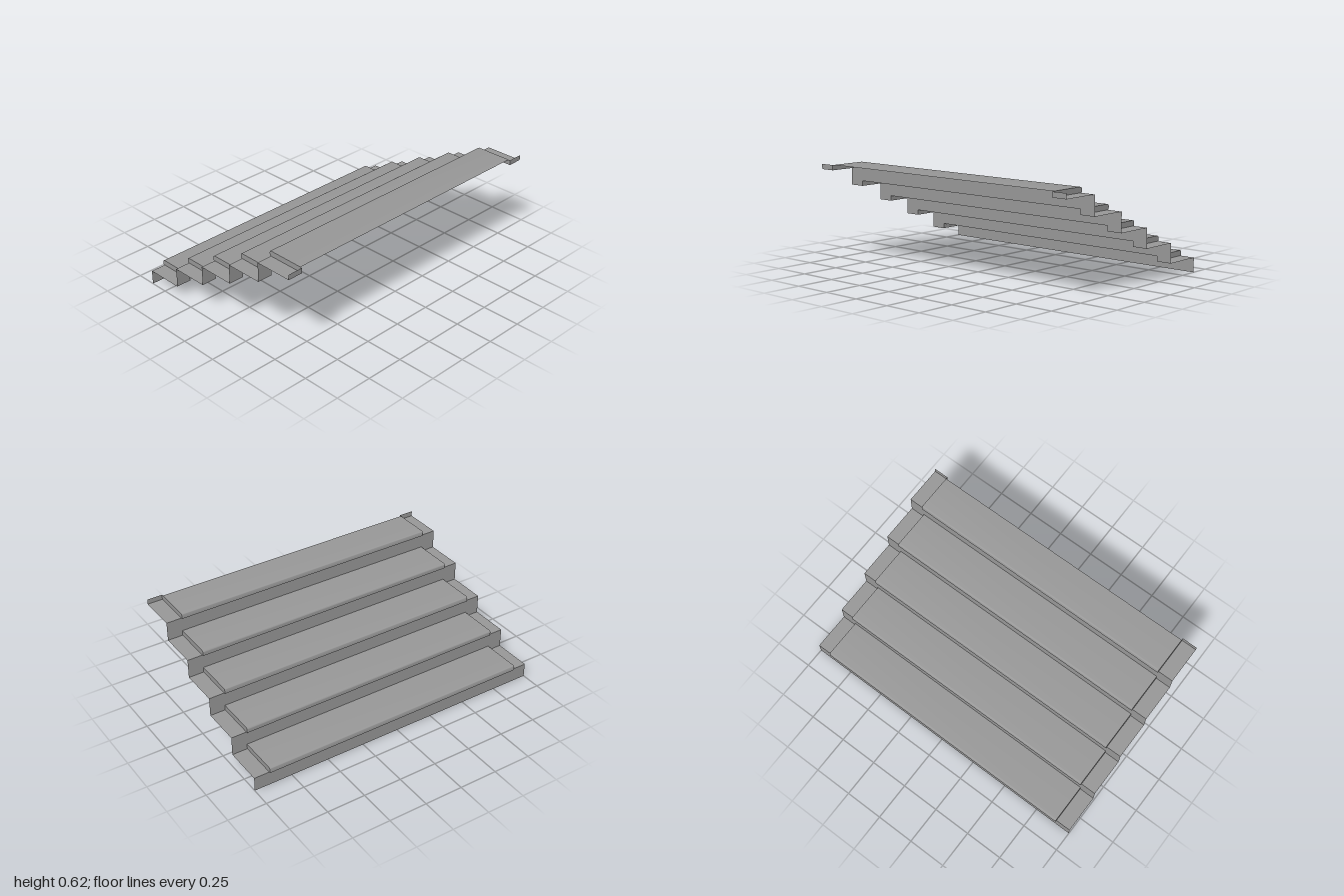
import * as THREE from 'three';
import { toCreasedNormals } from 'three/addons/utils/BufferGeometryUtils.js';

const STEPS = 5;
const RUN = 0.25;        // depth of one step
const RISE = 0.1247;     // height between steps
const BASE = 0.092;      // height of the lowest step
const BACK = -0.62;      // z of the lowest riser
const THICK = 0.0335;    // height of the raised tread
const NOSE = 0.01;       // tread overhang past its riser
const ROUND = 0.012;     // radius of the upper nose edge
const INNER = 0.9;       // half width of the raised treads
const OUTER = 1;         // half width of the whole stair

const material = new THREE.MeshStandardMaterial({ color: 0x989898, side: THREE.DoubleSide });

// Thin folded sheet: a [z, y] profile swept from x0 to x1
function foldedSheet(profile, x0, x1) {
  const positions = [];
  for (let i = 0; i < profile.length - 1; i++) {
    const [za, ya] = profile[i];
    const [zb, yb] = profile[i + 1];
    const a = [x0, ya, za], b = [x0, yb, zb];
    const c = [x1, yb, zb], d = [x1, ya, za];
    positions.push(...a, ...b, ...c, ...a, ...c, ...d);
  }
  const geometry = new THREE.BufferGeometry();
  geometry.setAttribute('position', new THREE.Float32BufferAttribute(positions, 3));
  return toCreasedNormals(geometry, 0.6);
}

// Nose outline of a tread, from the riser out and over the rounded edge
function noseProfile(z, y) {
  const points = [[z, y], [z - NOSE, y]];
  for (let k = 0; k <= 4; k++) {
    const a = (k / 4) * Math.PI / 2;
    points.push([z - NOSE + ROUND * (1 - Math.cos(a)), y + THICK - ROUND * (1 - Math.sin(a))]);
  }
  return points;
}

export function createModel() {
  const group = new THREE.Group();
  group.name = 'staircase';

  const add = (geometry, name) => {
    const mesh = new THREE.Mesh(geometry, material);
    mesh.name = name;
    group.add(mesh);
    return mesh;
  };

  // Low side strips run in a plain zigzag, the centre is raised at each tread
  const side = [[BACK, 0]];
  const centre = [[BACK, 0]];
  for (let i = 0; i < STEPS; i++) {
    const z = BACK + i * RUN;
    const y = BASE + i * RISE;
    const end = z + RUN - (i === STEPS - 1 ? 0.013 : 0);
    side.push([z, y], [z + RUN, y]);
    centre.push(...noseProfile(z, y), [end, y + THICK]);
  }
  // Short upright lip at the top of the side strips
  side.push([BACK + STEPS * RUN, BASE + (STEPS - 1) * RISE + THICK]);

  add(foldedSheet(centre, -INNER, INNER), 'treadsAndRisers');
  add(foldedSheet(side, INNER, OUTER), 'leftSideStrip');
  add(foldedSheet(side, -OUTER, -INNER), 'rightSideStrip');

  // Small walls closing the ends of each raised tread
  const outline = [...noseProfile(0, 0), [RUN, THICK], [RUN, 0]];
  const wall = new THREE.ShapeGeometry(new THREE.Shape(outline.map(([z, y]) => new THREE.Vector2(z, y))));
  wall.rotateY(-Math.PI / 2);
  for (let i = 0; i < STEPS; i++) {
    for (const s of [-1, 1]) {
      const mesh = add(wall, `${s > 0 ? 'left' : 'right'}TreadEnd${i + 1}`);
      mesh.position.set(s * INNER, BASE + i * RISE, BACK + i * RUN);
    }
  }

  return group;
}
